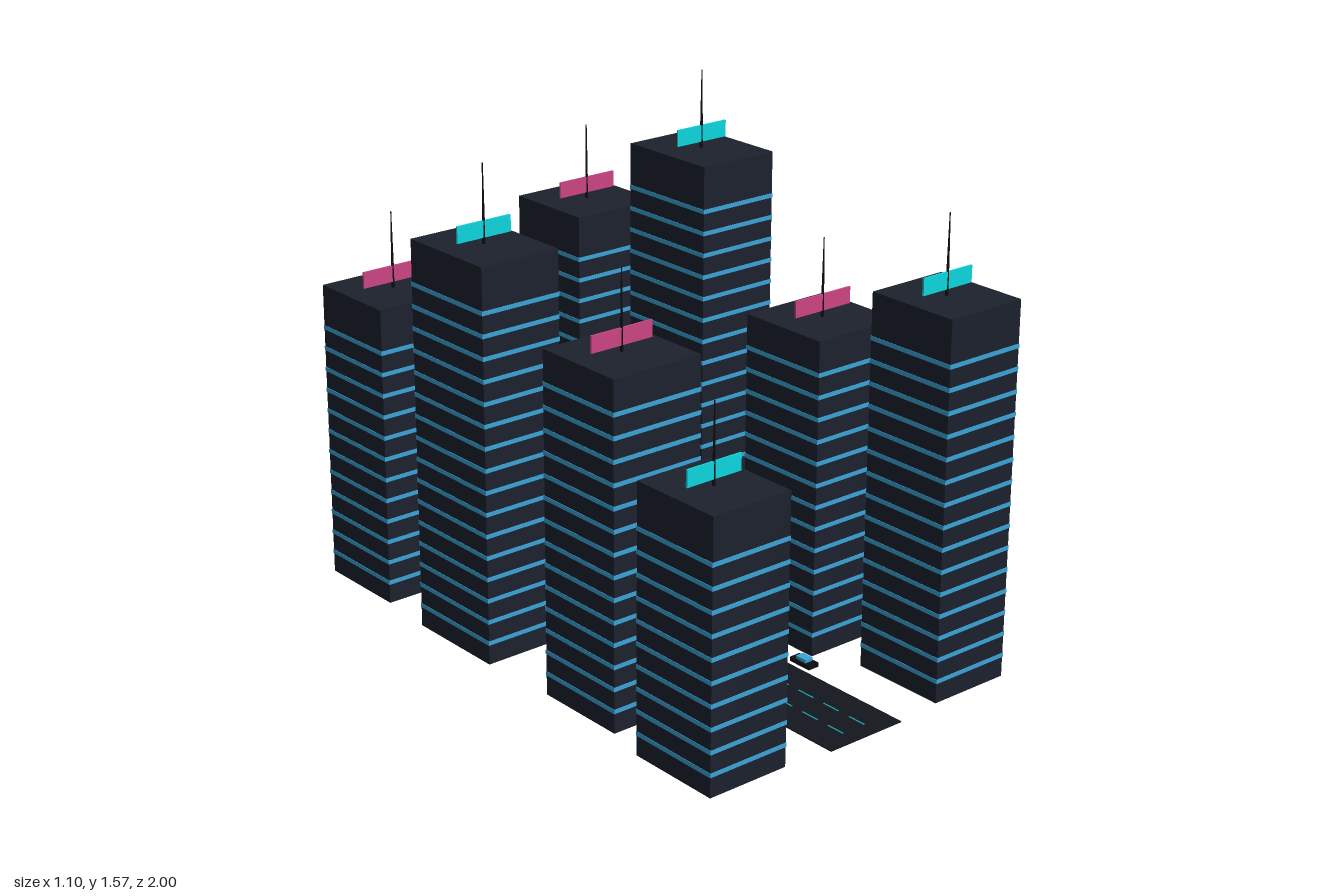
import * as THREE from 'three';

const mat = (color) => new THREE.MeshStandardMaterial({ color });
const FLOOR = 1 / 15;

export function createModel() {
  const city = new THREE.Group();
  city.name = 'cityBlock';
  const wall = mat(0x1c212d), glass = mat(0x3aa5d8), dark = mat(0x0c0e12);
  const asphalt = mat(0x14171e), lane = mat(0x12a5ad);
  const cyan = mat(0x0cd8e0), pink = mat(0xcf4585);

  const add = (parent, name, geometry, material, x, y, z) => {
    const mesh = new THREE.Mesh(geometry, material);
    mesh.name = name;
    mesh.position.set(x, y, z);
    parent.add(mesh);
    return mesh;
  };
  const box = (parent, name, material, w, h, d, x, y, z) =>
    add(parent, name, new THREE.BoxGeometry(w, h, d), material, x, y, z);

  // Tower with a window band on each floor, a rooftop sign and an antenna
  const tower = (x, z, w, d, h, signMat, signW) => {
    const g = new THREE.Group();
    g.name = 'tower';
    g.position.set(x, 0, z);
    box(g, 'towerBody', wall, w, h, d, 0, h / 2, 0);
    for (let y = FLOOR; y < h - 0.09; y += FLOOR) {
      box(g, 'windowBand', glass, w + 0.003, 0.013, d + 0.003, 0, y, 0);
    }
    box(g, 'roofSign', signMat, signW, 0.05, 0.006, 0, h + 0.043, 0);
    add(g, 'antenna', new THREE.CylinderGeometry(0.0015, 0.005, 0.235, 6), dark, 0, h + 0.1175, 0);
    city.add(g);
  };

  // x, z, width, depth, height, sign colour, sign width
  [
    [-0.37, -0.67, 0.3, 0.3, 0.933, pink, 0.21],
    [-0.402, -0.167, 0.265, 0.333, 1.2, cyan, 0.185],
    [-0.37, 0.4, 0.3, 0.3, 1.033, pink, 0.21],
    [-0.418, 0.832, 0.265, 0.3, 0.8, cyan, 0.185],
    [0.365, -0.67, 0.3, 0.3, 1.068, pink, 0.21],
    [0.398, -0.167, 0.265, 0.333, 1.334, cyan, 0.185],
    [0.365, 0.4, 0.3, 0.3, 0.967, pink, 0.21],
    [0.415, 0.832, 0.265, 0.3, 1.134, cyan, 0.185],
  ].forEach((t) => tower(...t));

  // Road with two dashed lane lines
  box(city, 'road', asphalt, 0.265, 0.003, 2, -0.002, 0.0015, 0);
  for (const x of [-0.042, 0.038]) {
    for (let i = 0; i < 19; i++) {
      box(city, 'laneDash', lane, 0.005, 0.001, 0.06, x, 0.0035, -0.92 + i * 0.1022);
    }
  }

  // Cars hovering just above street level
  for (const [x, z] of [[-0.16, -0.42], [0.157, -0.252], [-0.16, 0.247], [0.157, 0.58]]) {
    const car = new THREE.Group();
    car.name = 'car';
    car.position.set(x, 0, z);
    box(car, 'carBody', dark, 0.038, 0.013, 0.08, 0, 0.0135, 0);
    box(car, 'carCabin', glass, 0.028, 0.01, 0.04, 0, 0.025, 0);
    city.add(car);
  }
  return city;
}
